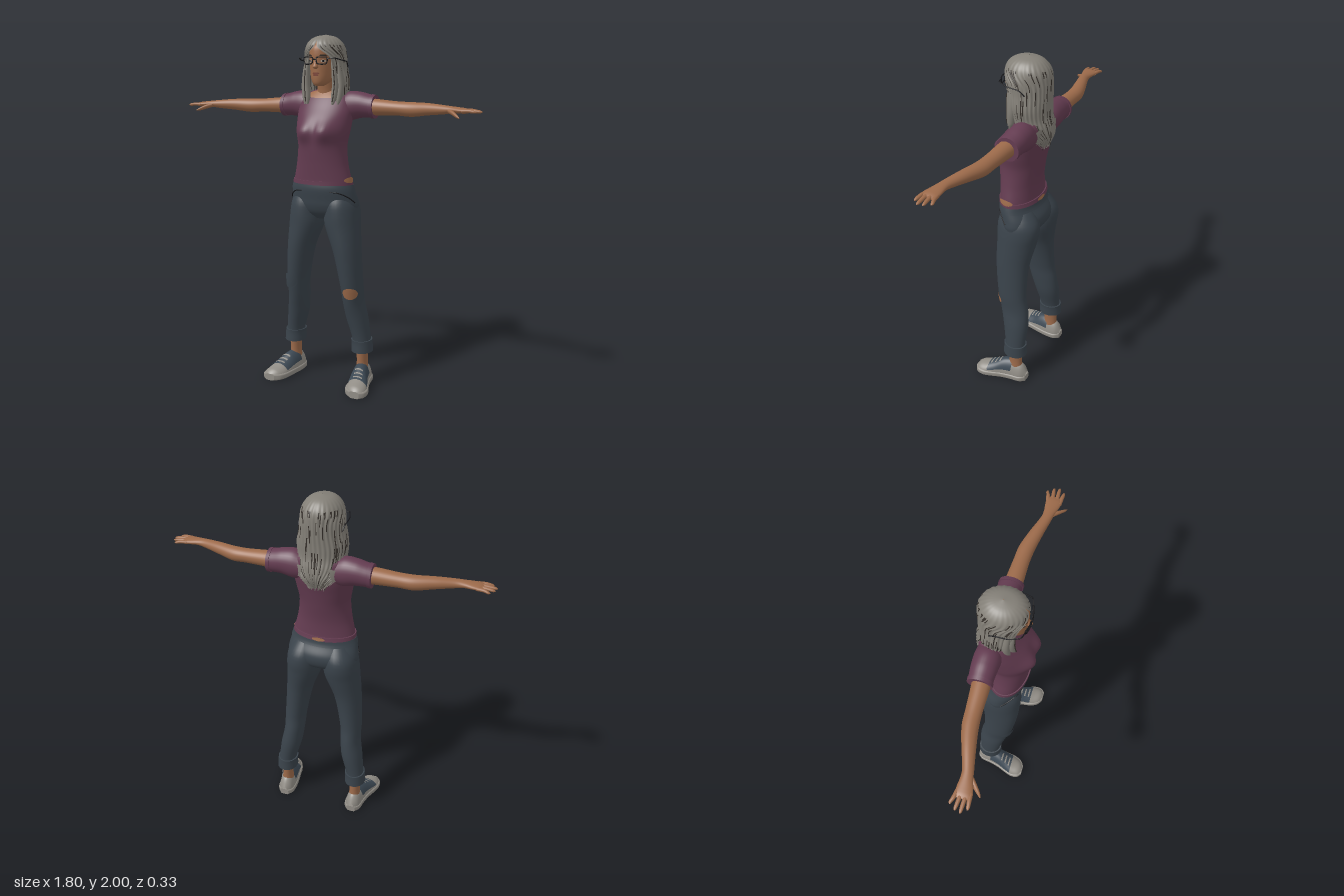
import * as THREE from 'three';

const mat = (name, color, side = THREE.FrontSide) => {
  const m = new THREE.MeshStandardMaterial({ color, side });
  m.name = name;
  return m;
};

// Smooth lookup in a list of sections [t, a, b, ra, rb]
function sample(S, t) {
  let i = 0;
  while (i < S.length - 2 && t > S[i + 1][0]) i++;
  const h = S[i + 1][0] - S[i][0], u = Math.min(1, Math.max(0, (t - S[i][0]) / h));
  const slope = (k, c) => {
    const p = S[Math.max(0, k - 1)], q = S[Math.min(S.length - 1, k + 1)];
    return (q[c] - p[c]) / (q[0] - p[0]) * h;
  };
  return S[i].map((v, c) => {
    const w = S[i + 1][c], u2 = u * u, u3 = u2 * u;
    return (2 * u3 - 3 * u2 + 1) * v + (u3 - 2 * u2 + u) * slope(i, c) + (3 * u2 - 2 * u3) * w + (u3 - u2) * slope(i + 1, c);
  });
}

// Point on a lofted surface; o.axis is the direction of t
function surfacePoint(S, t, phi, o) {
  const [, a, b, ra, rb] = sample(S, t), g = o.grow || 0, e = o.pow || 1;
  const f = (v) => Math.sign(v) * Math.abs(v) ** e;
  const p = a + (Math.max(0.001, ra) + g) * f(Math.cos(phi)), q = b + (Math.max(0.001, rb) + g) * f(Math.sin(phi));
  const v = o.axis === 'x' ? [t, p, q] : o.axis === 'z' ? [p, q, t] : [p, t, q];
  if (o.warp) o.warp(v);
  if (o.mirror) v[0] = -v[0];
  return v;
}

function build(pos, tris, o) {
  const flip = (o.axis === undefined) !== !!o.mirror;
  const g = new THREE.BufferGeometry();
  g.setAttribute('position', new THREE.Float32BufferAttribute(pos.flat(), 3));
  g.setIndex(tris.flatMap(([a, b, c]) => (flip ? [a, c, b] : [a, b, c])));
  g.computeVertexNormals();
  return g;
}

// Tube of elliptical cross-sections, whole or only a range of t and angle
function loft(S, o = {}) {
  const { t0 = S[0][0], t1 = S[S.length - 1][0], p0 = 0, p1 = 2 * Math.PI, rows = 32, seg = 32 } = o;
  const full = p1 - p0 > 6.28, n = full ? seg : seg + 1, pos = [], tris = [];
  for (let i = 0; i <= rows; i++)
    for (let j = 0; j < n; j++) pos.push(surfacePoint(S, t0 + (t1 - t0) * i / rows, p0 + (p1 - p0) * j / seg, o));
  for (let i = 0; i < rows; i++)
    for (let j = 0; j < seg; j++) {
      const a = i * n + j, b = i * n + (j + 1) % n;
      tris.push([a, b, a + n], [b, b + n, a + n]);
    }
  if (full) for (const i of [0, rows]) {
    const ring = pos.slice(i * n, i * n + n), s = pos.length;
    pos.push(...ring, [0, 1, 2].map((k) => ring.reduce((m, v) => m + v[k], 0) / n));
    for (let j = 0; j < n; j++) {
      const a = s + j, b = s + (j + 1) % n;
      tris.push(i ? [a, b, s + n] : [b, a, s + n]);
    }
  }
  return build(pos, tris, o);
}

// Oval decal lying on a lofted surface
function patch(S, tc, tr, pc, pr, o = {}) {
  const pos = [surfacePoint(S, tc, pc, o)], tris = [], n = 24, R = 6;
  for (let r = 1; r <= R; r++)
    for (let j = 0; j < n; j++) {
      const al = j / n * 2 * Math.PI, k = r / R;
      pos.push(surfacePoint(S, tc + tr * k * Math.sin(al), pc + pr * k * Math.cos(al), o));
      const a = 1 + (r - 1) * n + j, b = 1 + (r - 1) * n + (j + 1) % n;
      if (r === 1) tris.push([0, a, b]);
      else tris.push([a - n, a, b], [a - n, b, b - n]);
    }
  return build(pos, tris, o);
}

const tube = (pts, r, closed = false) => new THREE.TubeGeometry(
  new THREE.CatmullRomCurve3(pts.map((p) => new THREE.Vector3(...p)), closed, 'catmullrom', 0.3), 40, r, 6, closed);

// Open-faced curtain of hair with strand ridges; group 1 holds the dark strands
function hairSheet() {
  // [y, half width, z centre, half depth, half opening angle]
  const S = [[1.525, 0.09, -0.06, 0.085, 2.4], [1.58, 0.125, -0.06, 0.105, 1.9], [1.64, 0.122, -0.06, 0.103, 0.9],
    [1.69, 0.125, -0.05, 0.1, 0.7], [1.75, 0.131, -0.043, 0.106, 0.72], [1.82, 0.12, -0.035, 0.117, 0.75],
    [1.88, 0.115, -0.03, 0.123, 0.65], [1.93, 0.106, -0.027, 0.12, 0.12], [1.965, 0.086, -0.025, 0.1, 0],
    [1.99, 0.05, -0.027, 0.06, 0], [2, 0.002, -0.03, 0.002, 0]];
  const rows = 64, cols = 120, pos = [], light = [], dark = [];
  for (let i = 0; i <= rows; i++) {
    const y = 1.525 + 0.475 * (1 - (1 - i / rows) ** 1.4), [, rx, zc, rz, a0] = sample(S, y), a = Math.max(0, a0);
    for (let j = 0; j <= cols; j++) {
      const th = a + (2 * Math.PI - 2 * a) * j / cols;
      const k = 1 + 0.022 * Math.sin(j * 1.31 + Math.sin(y * 14)) * Math.min(1, (2 - y) * 12);
      const hem = i === 0 ? 0.012 * Math.sin(j * 0.9) : 0;
      pos.push(Math.max(0, rx) * k * Math.sin(th), y + hem, zc + Math.max(0, rz) * k * Math.cos(th));
    }
  }
  for (let i = 0; i < rows; i++)
    for (let j = 0; j < cols; j++) {
      const a = i * (cols + 1) + j, c = a + cols + 1;
      const h = Math.abs(Math.sin(j * 12.99 + Math.floor((i + j * 3) / 9) * 78.23) * 43758.5) % 1;
      (h < 0.16 && i < 50 ? dark : light).push(a, a + 1, c, a + 1, c + 1, c);
    }
  const g = new THREE.BufferGeometry();
  g.setAttribute('position', new THREE.Float32BufferAttribute(pos, 3));
  g.setIndex([...light, ...dark]);
  g.addGroup(0, light.length, 0);
  g.addGroup(light.length, dark.length, 1);
  g.computeVertexNormals();
  return g;
}

export function createModel() {
  const model = new THREE.Group();
  const D = THREE.DoubleSide;
  const skin = mat('skin', 0x9c6a4a), shirt = mat('shirt plum', 0x643c51), denim = mat('denim', 0x3a434b);
  const hair = mat('grey hair', 0x837f77, D), strand = mat('dark strands', 0x37312c, D), shoeGrey = mat('shoe grey', 0x918d86, D);
  const shoeBlue = mat('shoe slate', 0x3c4853, D), black = mat('black', 0x17171a, D), lips = mat('lips', 0x7c4537), white = mat('eye white', 0xb5aca2);
  const add = (name, geo, m) => {
    const mesh = new THREE.Mesh(geo, m);
    mesh.name = name;
    model.add(mesh);
  };
  const H = Math.PI / 2;

  // Shirt body
  const torso = [[1.185, 0.175, 0.11, -0.105], [1.21, 0.172, 0.11, -0.1], [1.3, 0.152, 0.118, -0.1], [1.4, 0.142, 0.128, -0.115],
    [1.48, 0.155, 0.126, -0.13], [1.55, 0.162, 0.1, -0.145], [1.61, 0.165, 0.06, -0.15], [1.66, 0.15, 0.025, -0.145],
    [1.69, 0.11, 0, -0.13], [1.705, 0.065, -0.015, -0.11]].map(([y, r, f, b]) => [y, 0, (f + b) / 2, r, (f - b) / 2]);
  const warp = (v) => {
    if (v[2] > 0) v[2] += 0.034 * Math.exp(-(((Math.abs(v[0]) - 0.062) / 0.05) ** 2) - ((v[1] - 1.48) / 0.055) ** 2);
  };
  add('shirtBody', loft(torso, { warp, rows: 48, seg: 48 }), shirt);
  add('shirtHem', loft(torso, { t0: 1.185, t1: 1.207, grow: 0.006, rows: 3, seg: 48 }), shirt);
  add('neckline', patch(torso, 1.682, 0.024, H, 0.85, { grow: 0.004 }), skin);
  add('bareWaist', patch(torso, 1.213, 0.016, 0.1, 0.4, { grow: 0.008 }), skin);
  add('bareBack', patch(torso, 1.196, 0.01, -H, 0.2, { grow: 0.009 }), skin);

  // Hips of the jeans
  const hips = [[0.985, 0, -0.02, 0.06, 0.06], [1.02, 0, -0.025, 0.185, 0.1], [1.06, 0, -0.025, 0.204, 0.118],
    [1.1, 0, -0.02, 0.2, 0.12], [1.16, 0, 0, 0.186, 0.108], [1.2, 0, 0.002, 0.173, 0.102]];
  add('hips', loft(hips, { seg: 48 }), denim);
  add('waistband', loft(hips, { t0: 1.15, t1: 1.185, grow: 0.004, rows: 4, seg: 48 }), denim);

  // Head, neck and face
  const head = [[1.724, 0, 0.045, 0.02, 0.025], [1.735, 0, 0.036, 0.036, 0.046], [1.76, 0, 0.01, 0.056, 0.078], [1.8, 0, -0.01, 0.068, 0.1],
    [1.85, 0, -0.02, 0.074, 0.112], [1.9, 0, -0.02, 0.077, 0.115], [1.94, 0, -0.02, 0.072, 0.104], [1.97, 0, -0.02, 0.045, 0.06]];
  add('head', loft(head), skin);
  add('neck', loft([[1.62, 0, -0.05, 0.07, 0.065], [1.68, 0, -0.045, 0.054, 0.054], [1.78, 0, -0.03, 0.05, 0.055]]), skin);
  add('nose', loft([[1.815, 0, 0.088, 0.006, 0.008], [1.825, 0, 0.092, 0.015, 0.019], [1.845, 0, 0.09, 0.01, 0.014], [1.875, 0, 0.086, 0.006, 0.006]], { seg: 16 }), skin);
  add('upperLip', patch(head, 1.793, 0.005, H, 0.3, { grow: 0.004 }), lips);
  add('lowerLip', patch(head, 1.784, 0.006, H, 0.26, { grow: 0.005 }), lips);

  // Hair, with front locks added below
  add('hair', hairSheet(), [hair, strand]);
  add('hairOnShoulders', patch(torso, 1.61, 0.045, -H, 0.95, { grow: 0.006 }), hair);

  // Glasses bridge
  add('glassesBridge', tube([[-0.012, 1.863, 0.106], [0, 1.867, 0.109], [0.012, 1.863, 0.106]], 0.003), black);

  const leg = [[0.2, 0.222, -0.068, 0.054, 0.064], [0.27, 0.218, -0.067, 0.052, 0.062], [0.4, 0.193, -0.057, 0.061, 0.077],
    [0.5, 0.178, -0.04, 0.058, 0.085], [0.6, 0.173, -0.022, 0.062, 0.087], [0.8, 0.147, -0.012, 0.077, 0.1],
    [0.95, 0.114, -0.022, 0.1, 0.117], [1.02, 0.108, -0.028, 0.1, 0.124], [1.08, 0.103, -0.028, 0.093, 0.118], [1.15, 0.09, -0.02, 0.07, 0.08]];
  const arm = [[0.2, 1.615, -0.07, 0.048, 0.05], [0.3, 1.612, -0.062, 0.044, 0.047], [0.42, 1.608, -0.058, 0.038, 0.042],
    [0.5, 1.605, -0.052, 0.039, 0.042], [0.6, 1.61, -0.028, 0.032, 0.036], [0.7, 1.611, 0, 0.023, 0.029],
    [0.74, 1.612, 0.006, 0.018, 0.031], [0.78, 1.61, 0.01, 0.016, 0.039], [0.82, 1.608, 0.013, 0.013, 0.042], [0.835, 1.607, 0.014, 0.007, 0.036]];
  const sleeve = [[0.09, 1.61, -0.07, 0.07, 0.065], [0.14, 1.617, -0.07, 0.08, 0.07], [0.2, 1.622, -0.072, 0.071, 0.067], [0.25, 1.617, -0.072, 0.064, 0.063], [0.285, 1.613, -0.07, 0.06, 0.061]];
  const shoe = [[-0.146, 0.222, 0.02, 0.02, 0.04], [-0.12, 0.222, 0.02, 0.042, 0.085], [-0.06, 0.225, 0.02, 0.05, 0.105], [0, 0.236, 0.02, 0.054, 0.098],
    [0.05, 0.25, 0.02, 0.06, 0.072], [0.1, 0.262, 0.02, 0.064, 0.052], [0.145, 0.271, 0.02, 0.05, 0.038], [0.165, 0.275, 0.02, 0.024, 0.018]];
  const sole = shoe.map(([z, x, , r]) => [z, x, 0.02, r + 0.006, 0.02]);

  for (const s of [1, -1]) {
    const mirror = s < 0, side = mirror ? 'right' : 'left', X = { axis: 'x', mirror }, Z = { axis: 'z', mirror };
    const m = (pts) => pts.map(([x, y, z]) => [s * x, y, z]);

    // Arm, hand and sleeve
    add(side + 'Sleeve', loft(sleeve, X), shirt);
    add(side + 'SleeveHem', loft(sleeve, { ...X, t0: 0.265, t1: 0.285, grow: 0.004, rows: 3 }), shirt);
    add(side + 'Arm', loft(arm, { ...X, rows: 44 }), skin);
    [[-0.02, -0.036, 0.872], [0.003, -0.006, 0.893], [0.025, 0.022, 0.9], [0.044, 0.05, 0.878]].forEach(([z0, z1, end], i) =>
      add(side + 'Finger' + (i + 1), loft([[0.8, 1.608, z0, 0.01, 0.011], [0.84, 1.609, (z0 + z1) / 2, 0.009, 0.0105],
        [end - 0.01, 1.605, z1, 0.007, 0.008], [end, 1.604, z1, 0.002, 0.003]], { ...X, rows: 12, seg: 12 }), skin));
    add(side + 'Thumb', loft([[0.725, 1.607, 0.02, 0.012, 0.016], [0.755, 1.597, 0.045, 0.012, 0.016], [0.785, 1.583, 0.072, 0.009, 0.011],
      [0.802, 1.575, 0.086, 0.003, 0.004]], { ...X, rows: 12, seg: 12 }), skin);

    // Trouser leg, rolled cuff, knee and pocket seam
    add(side + 'Leg', loft(leg, { mirror, rows: 48 }), denim);
    add(side + 'Cuff', loft(leg, { mirror, t0: 0.2, t1: 0.27, grow: 0.008, rows: 6 }), denim);
    if (!mirror) add('tornKnee', patch(leg, 0.568, 0.034, 1.25, 0.7, { grow: 0.004 }), skin);
    else add('kneeFold', patch(leg, 0.6, 0.045, 1.2, 0.9, { mirror, grow: 0.008 }), denim);
    const seam = [0, 1, 2, 3, 4].map((k) => surfacePoint(hips, 1.15 - 0.065 * (k / 4) ** 2, 1.1 - 0.22 * k, { mirror, grow: 0.002 }));
    add(side + 'PocketSeam', tube(seam, 0.003), black);

    // Ankle and shoe
    add(side + 'Ankle', loft([[0.07, 0.222, -0.07, 0.036, 0.045], [0.14, 0.222, -0.07, 0.031, 0.041], [0.26, 0.222, -0.066, 0.036, 0.045]], { mirror }), skin);
    add(side + 'Sole', loft(sole, { ...Z, pow: 0.45 }), shoeGrey);
    add(side + 'ShoeUpper', loft(shoe, { ...Z, p1: Math.PI }), shoeGrey);
    add(side + 'ShoeVamp', loft(shoe, { ...Z, t0: -0.06, t1: 0.085, p0: 0.45, p1: Math.PI - 0.45, grow: 0.004 }), shoeBlue);
    for (const z of [0.015, 0.04, 0.065])
      add(side + 'Lace', loft(shoe, { ...Z, t0: z, t1: z + 0.009, p0: 1.15, p1: 1.99, grow: 0.007, rows: 2, seg: 10 }), shoeGrey);

    // Eye, brow, glasses and front lock
    const pe = H - s * 0.53;
    add(side + 'Eye', patch(head, 1.858, 0.007, pe, 0.17, { grow: 0.002 }), white);
    add(side + 'Iris', patch(head, 1.858, 0.006, pe, 0.07, { grow: 0.004 }), black);
    add(side + 'Brow', patch(head, 1.888, 0.004, pe, 0.25, { grow: 0.003 }), strand);
    add(side + 'LensFrame', tube(m([[0.012, 1.876, 0.106], [0.04, 1.879, 0.104], [0.068, 1.877, 0.094], [0.07, 1.858, 0.092],
      [0.062, 1.843, 0.096], [0.038, 1.841, 0.103], [0.016, 1.845, 0.106], [0.011, 1.86, 0.107]]), 0.0035, true), black);
    add(side + 'Temple', tube(m([[0.069, 1.87, 0.094], [0.105, 1.874, 0.082], [0.122, 1.864, 0.03], [0.122, 1.856, -0.04], [0.116, 1.83, -0.07]]), 0.003), black);
    [[0, 0], [0.022, -0.02]].forEach(([dx, dz]) =>
      add(side + 'FrontLock', loft([[1.625, 0.078 + dx, 0.045 + dz, 0.006, 0.008], [1.66, 0.082 + dx, 0.035 + dz, 0.016, 0.018],
        [1.73, 0.088 + dx, 0.03 + dz, 0.018, 0.02], [1.82, 0.08 + dx, 0.035 + dz, 0.012, 0.016], [1.88, 0.07 + dx, 0.04 + dz, 0.004, 0.006]],
      { mirror, seg: 12 }), hair));
    add(side + 'LockStrand', tube(m([[0.082, 1.64, 0.056], [0.087, 1.68, 0.053], [0.092, 1.74, 0.05], [0.086, 1.81, 0.051]]), 0.003), strand);
  }
  return model;
}
